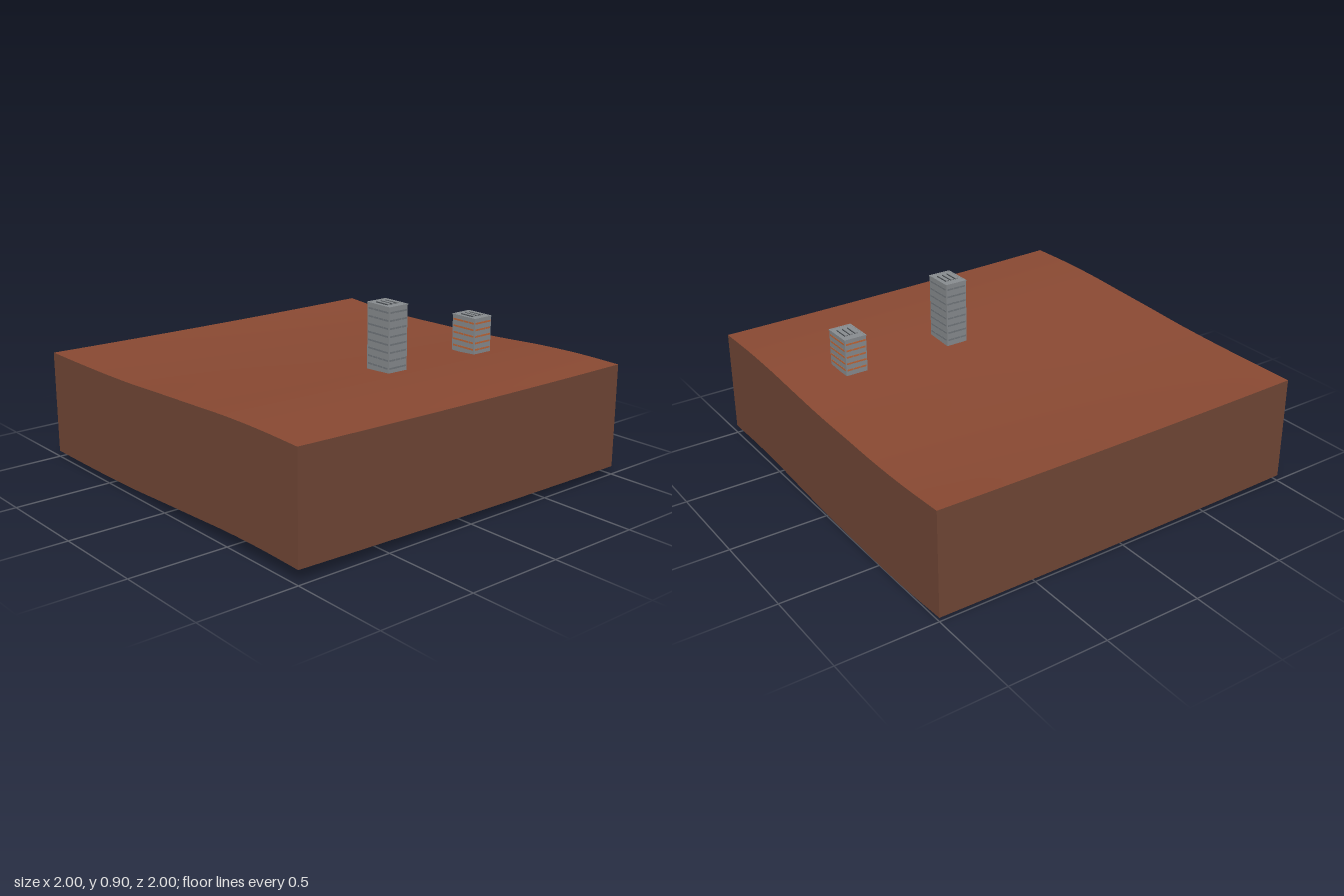
import * as THREE from 'three';

const flat = (name, color, side = THREE.FrontSide) => {
  const m = new THREE.MeshStandardMaterial({ color, side });
  m.name = name;
  return m;
};

const DEPTH = 0.53;
const SEGMENTS = 32;

// Heights along the two side edges, sampled at even steps from z = -1 to z = 1
const edge = (heights) => new THREE.CatmullRomCurve3(
  heights.map((y, i) => new THREE.Vector3(0, y, -1 + (2 * i) / (heights.length - 1))));
const rightEdge = edge([0.56, 0.56, 0.562, 0.568, 0.58, 0.591, 0.602, 0.605, 0.6]);
const leftEdge = edge([0.55, 0.535, 0.53, 0.535, 0.54, 0.553, 0.568, 0.575, 0.572]);

function groundHeight(x, z) {
  const t = THREE.MathUtils.clamp((z + 1) / 2, 0, 1);
  const a = rightEdge.getPoint(t).y;
  const b = leftEdge.getPoint(t).y;
  return THREE.MathUtils.lerp(a, b, (x + 1) / 2) - 0.006 * (1 - x * x);
}

function createGround(soil, cut) {
  const ground = new THREE.Group();
  ground.name = 'ground';

  // Rolling top surface
  const top = new THREE.PlaneGeometry(2, 2, SEGMENTS, SEGMENTS).rotateX(-Math.PI / 2);
  const p = top.attributes.position;
  for (let i = 0; i < p.count; i++) p.setY(i, groundHeight(p.getX(i), p.getZ(i)));
  top.computeVertexNormals();
  const surface = new THREE.Mesh(top, soil);
  surface.name = 'groundSurface';
  ground.add(surface);

  // Four cut walls that follow the surface; the underside stays open
  ['front', 'left', 'back', 'right'].forEach((side, i) => {
    const wall = new THREE.PlaneGeometry(2, 1, SEGMENTS, 1)
      .translate(0, 0, 1).rotateY((i * Math.PI) / 2);
    const w = wall.attributes.position;
    for (let k = 0; k < w.count; k++) {
      const h = groundHeight(w.getX(k), w.getZ(k));
      w.setY(k, w.getY(k) > 0 ? h : h - DEPTH);
    }
    const mesh = new THREE.Mesh(wall, cut);
    mesh.name = side + 'GroundWall';
    ground.add(mesh);
  });
  return ground;
}

function createTower(name, x, z, base, top, floors, mats) {
  const W = 0.116, D = 0.156;
  const tower = new THREE.Group();
  tower.name = name;
  tower.position.set(x, base, z);
  const height = top - base;

  const box = (part, w, h, d, px, py, pz, material) => {
    const mesh = new THREE.Mesh(new THREE.BoxGeometry(w, h, d), material);
    mesh.name = part;
    mesh.position.set(px, py, pz);
    tower.add(mesh);
  };

  box('walls', W, height, D, 0, height / 2, 0, mats.concrete);

  // Rows of thin window panes on all four sides
  const step = (height - 0.02) / floors;
  const thin = 0.003;
  for (let f = 0; f < floors; f++) {
    const y = 0.012 + step * (f + 0.5);
    for (const s of [-1, 1]) {
      for (let c = -1; c <= 1; c++) {
        box('window', 0.033, 0.009, thin, c * 0.036, y, s * D / 2, mats.window);
      }
      for (let c = -1.5; c <= 1.5; c++) {
        box('window', thin, 0.009, 0.033, s * W / 2, y, c * 0.036, mats.window);
      }
    }
  }

  // Roof rim
  for (const s of [-1, 1]) {
    box('roofRim', W + 0.004, 0.006, 0.008, 0, height - 0.002, s * (D / 2 - 0.002), mats.concrete);
    box('roofRim', 0.008, 0.006, D + 0.004, s * (W / 2 - 0.002), height - 0.002, 0, mats.concrete);
  }
  // Three long roof vents
  for (const c of [-1, 0, 1]) {
    box('roofVent', 0.015, 0.008, 0.08, c * 0.028, height + 0.003, 0, mats.concrete);
    for (const s of [-1, 1]) {
      box('ventSide', 0.002, 0.006, 0.08, c * 0.028 + s * 0.008, height + 0.002, 0, mats.dark);
    }
  }
  return tower;
}

export function createModel() {
  const soil = flat('red soil', 0x8b4a33, THREE.DoubleSide);
  const cut = flat('cut earth', 0x734837, THREE.DoubleSide);
  const concrete = flat('concrete', 0x8a8e91);
  const orange = flat('orange glass', 0xc0683a);
  const slate = flat('slate glass', 0x74797e);
  const dark = flat('dark metal', 0x4c5156);

  const model = new THREE.Group();
  model.name = 'cityPlot';
  model.add(createGround(soil, cut));
  model.add(createTower('tallTower', 0.08, 0.33, 0.565, 0.898, 8,
    { concrete, window: slate, dark }));
  model.add(createTower('shortTower', 0.66, 0.33, 0.56, 0.75, 5,
    { concrete, window: orange, dark }));
  return model;
}
